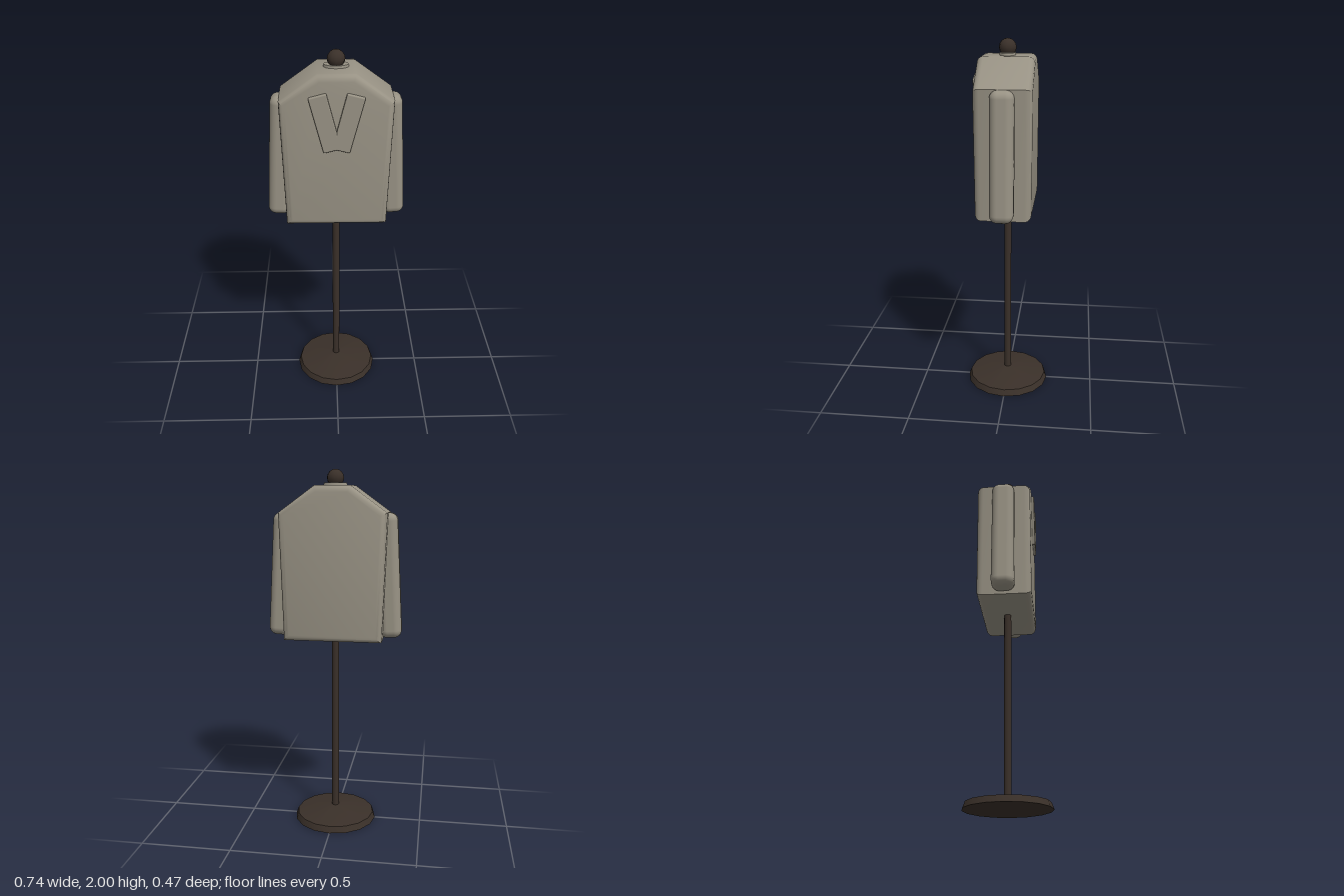
import * as THREE from 'three';
import { toCreasedNormals } from 'three/addons/utils/BufferGeometryUtils.js';
import { RoundedBoxGeometry } from 'three/addons/geometries/RoundedBoxGeometry.js';

export function createModel() {
  const model = new THREE.Group();
  const fabric = new THREE.MeshStandardMaterial({ name: 'grey fabric', color: 0x989284 });
  const darkWood = new THREE.MeshStandardMaterial({ name: 'dark wood', color: 0x3a3029 });

  const add = (name, geometry, material, x = 0, y = 0, z = 0) => {
    const mesh = new THREE.Mesh(geometry, material);
    mesh.name = name;
    mesh.position.set(x, y, z);
    model.add(mesh);
    return mesh;
  };

  // Stand: shallow cone foot, pole and knob
  const footProfile = [[0, 0], [0.235, 0], [0.222, 0.035], [0.02, 0.07], [0, 0.07]]
    .map(([r, y]) => new THREE.Vector2(r, y));
  add('foot', toCreasedNormals(new THREE.LatheGeometry(footProfile, 16), 0.5), darkWood);
  add('pole', new THREE.CylinderGeometry(0.02, 0.02, 1.87, 12), darkWood, 0, 1.0);
  add('knob', new THREE.SphereGeometry(0.046, 12, 8), darkWood, 0, 1.954);

  // Jacket body: sloping shoulders, rounded front and back edges
  const outline = new THREE.Shape([
    [-0.268, 1.087], [0.268, 1.087], [0.289, 1.775], [0.095, 1.915], [-0.095, 1.915], [-0.289, 1.775],
  ].map(([x, y]) => new THREE.Vector2(x, y)));
  const bevel = 0.034;
  const body = new THREE.ExtrudeGeometry(outline, {
    depth: 0.3 - 2 * bevel, bevelSize: bevel, bevelThickness: bevel, bevelOffset: -bevel, bevelSegments: 4,
  });
  body.translate(0, 0, bevel - 0.15);
  add('jacketBody', toCreasedNormals(body, 0.7), fabric);

  // Oval collar at the neck
  const collar = add('collar', new THREE.CylinderGeometry(0.062, 0.067, 0.024, 24), fabric, 0, 1.916);
  collar.scale.z = 0.68;

  // Sleeves and lapels, mirrored
  for (const side of [-1, 1]) {
    const sleeve = add(side > 0 ? 'leftSleeve' : 'rightSleeve',
      new RoundedBoxGeometry(0.12, 0.675, 0.125, 4, 0.042), fabric, side * 0.294, 1.436);
    sleeve.rotation.z = side * 0.056;

    const lapel = add(side > 0 ? 'leftLapel' : 'rightLapel',
      new RoundedBoxGeometry(0.093, 0.3, 0.03, 2, 0.007), fabric, side * 0.059, 1.672, 0.152);
    lapel.rotation.z = side * -0.253;
  }

  return model;
}
